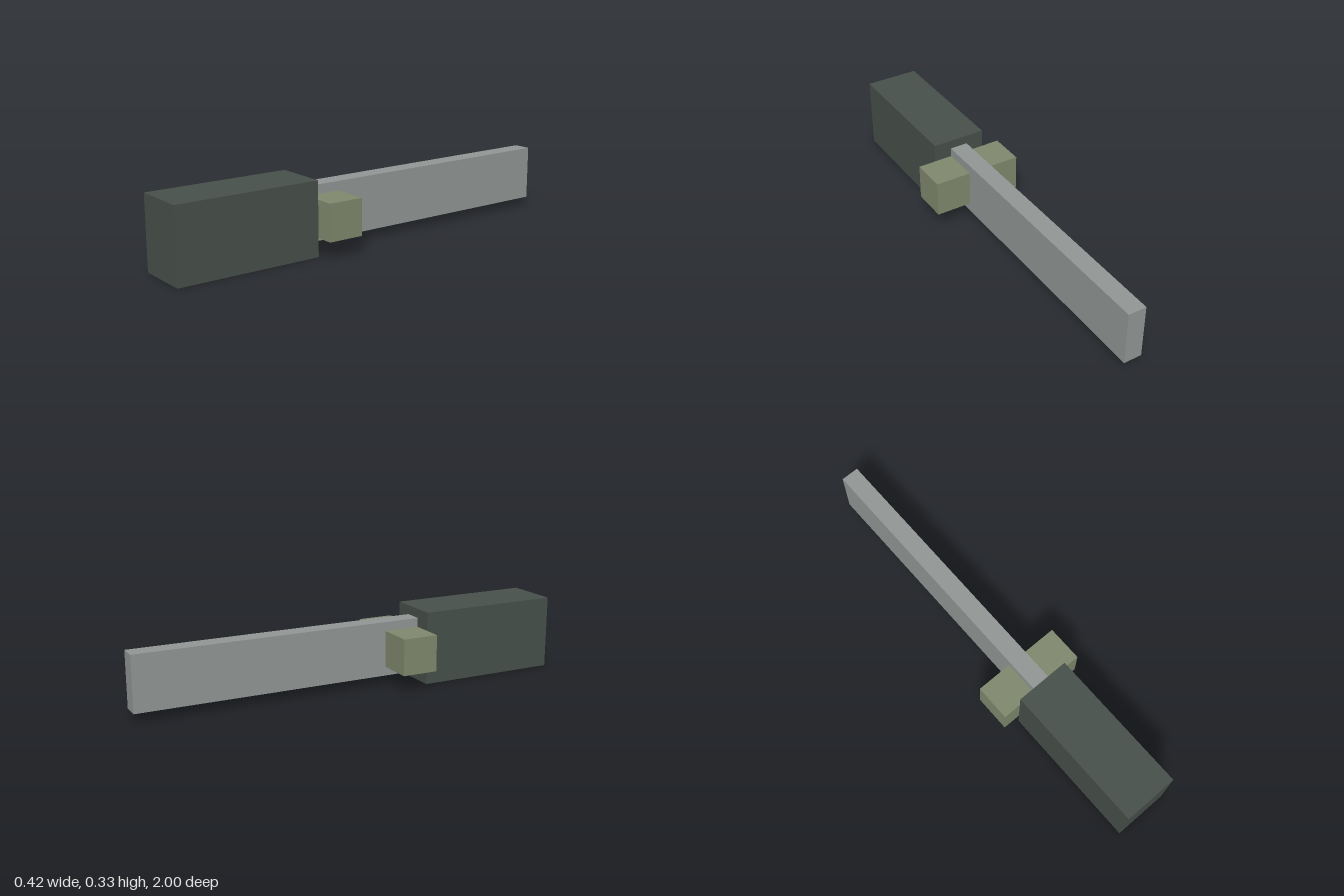
import * as THREE from 'three';

const material = (name, color) => {
  const m = new THREE.MeshStandardMaterial({ color });
  m.name = name;
  return m;
};

// Dimensions are whole or half multiples of one grid unit
const U = 1 / 12;

// Box given by its min and max corners, in grid units
function block(name, mat, [x0, y0, z0], [x1, y1, z1]) {
  const mesh = new THREE.Mesh(
    new THREE.BoxGeometry((x1 - x0) * U, (y1 - y0) * U, (z1 - z0) * U), mat);
  mesh.position.set((x0 + x1) * U / 2, (y0 + y1) * U / 2, (z0 + z1) * U / 2);
  mesh.name = name;
  return mesh;
}

export function createModel() {
  const model = new THREE.Group();
  model.name = 'knife';

  const darkGrip = material('dark grip', 0x464f49);
  const oliveGuard = material('olive guard', 0x7e876c);
  const greySteel = material('grey steel', 0x909694);

  // Thick grip at the front, long thin blade running to the back
  model.add(block('grip', darkGrip, [-1.5, 0, 4], [1.5, 4, 12]));
  model.add(block('blade', greySteel, [-0.5, 0.5, -12], [0.5, 3.5, 4]));

  // Guard halves on either side of the blade
  model.add(block('leftGuard', oliveGuard, [0.5, 1, 2], [2.5, 3, 4]));
  model.add(block('rightGuard', oliveGuard, [-2.5, 1, 2], [-0.5, 3, 4]));

  return model;
}
